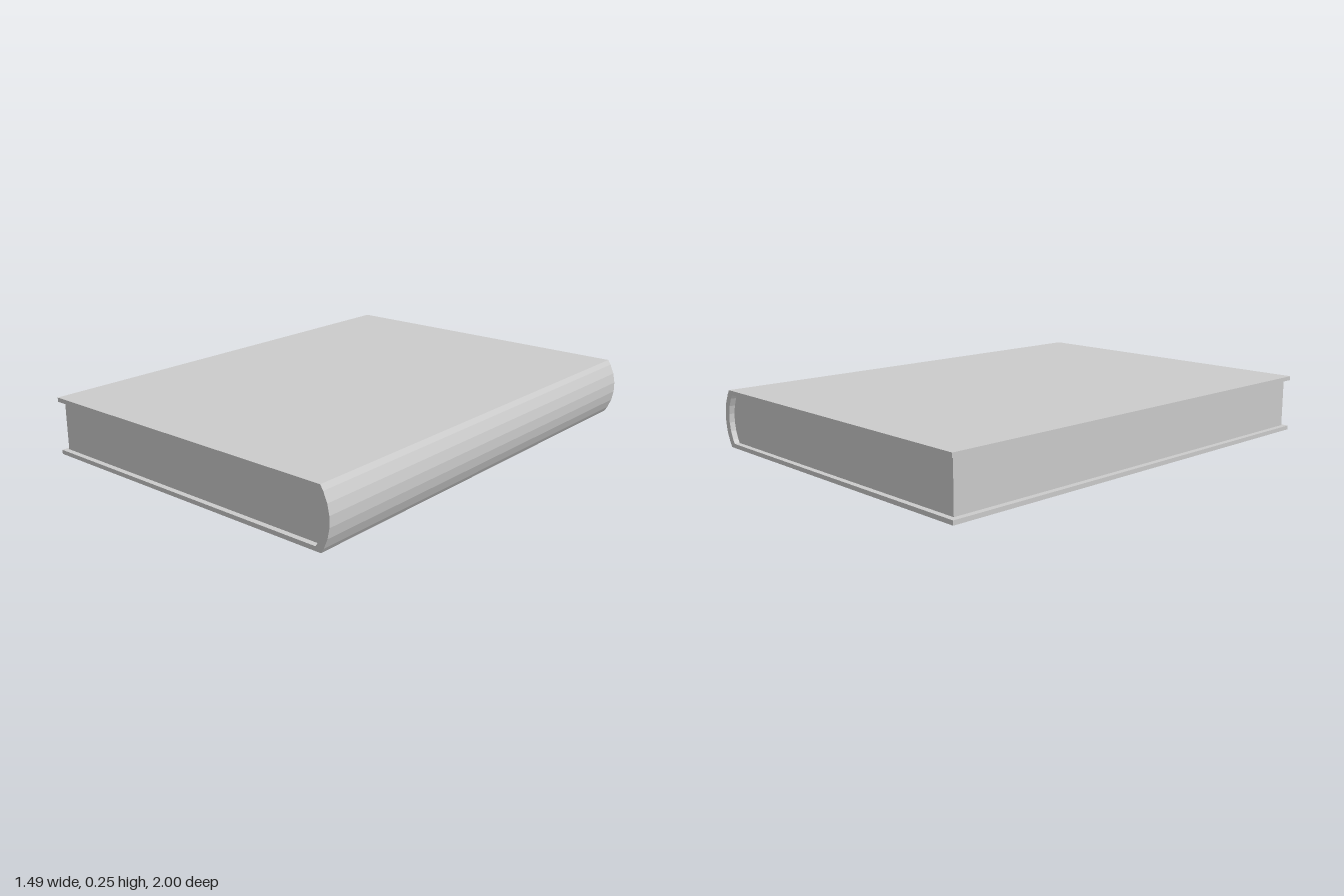
import * as THREE from 'three';

const MID = 0.1235; // half the book's thickness

// Points of a shallow bulge, from bottom to top, as [x, y]
function bulge(xEdge, xPeak, half) {
  const sag = xPeak - xEdge;
  const radius = (half * half + sag * sag) / (2 * sag);
  const end = Math.asin(half / radius);
  const steps = [-1, -0.82, -0.49, -0.163, 0.163, 0.49, 0.82, 1];
  return steps.map((s) => [
    xPeak - radius + radius * Math.cos(s * end),
    MID + radius * Math.sin(s * end),
  ]);
}

// Extrude a closed outline along z, centred on z = 0
function slab(name, points, depth) {
  const shape = new THREE.Shape(points.map(([x, y]) => new THREE.Vector2(x, y)));
  const geometry = new THREE.ExtrudeGeometry(shape, { depth, bevelEnabled: false });
  geometry.translate(0, 0, -depth / 2);
  const mesh = new THREE.Mesh(
    geometry,
    new THREE.MeshStandardMaterial({ color: 0xcccccc, flatShading: true })
  );
  mesh.name = name;
  return mesh;
}

export function createModel() {
  const book = new THREE.Group();
  book.name = 'book';

  // Cover: two boards joined by a rounded spine, as one C-shaped outline
  const board = 0.018;
  const foreEdge = -0.747;
  const outer = bulge(0.707, 0.747, MID);
  const inner = bulge(0.683, 0.717, MID - board).reverse();
  book.add(slab('cover', [
    [foreEdge, 0], ...outer, [foreEdge, 2 * MID],
    [foreEdge, 2 * MID - board], ...inner, [foreEdge, board],
  ], 2));

  // Page block: set back from the cover's edges, rounded towards the spine
  const pageHalf = MID - board - 0.002;
  book.add(slab('pages', [
    [-0.727, MID - pageHalf],
    ...bulge(0.677, 0.709, pageHalf),
    [-0.727, MID + pageHalf],
  ], 1.96));

  return book;
}
